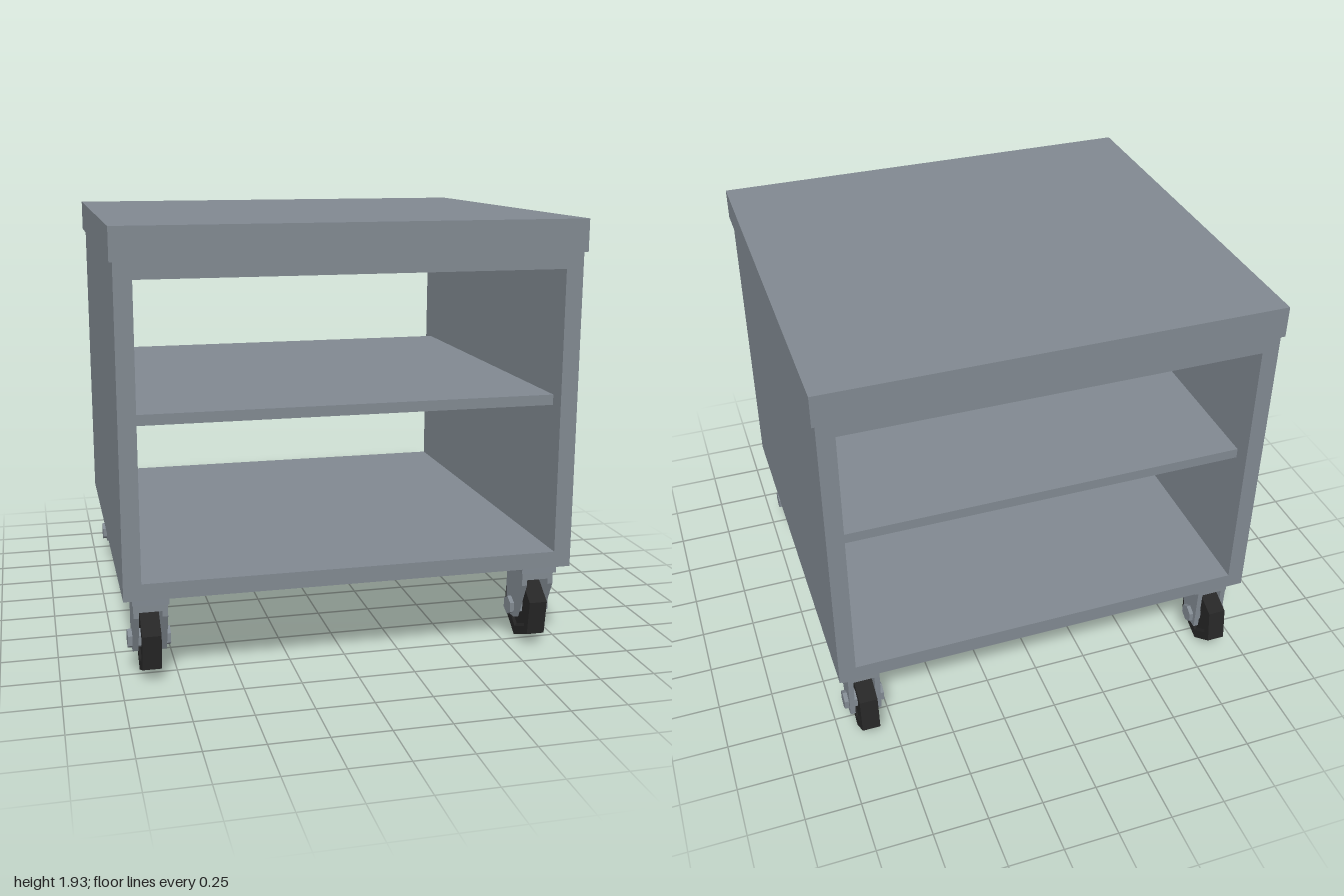
import * as THREE from 'three';

const steel = new THREE.MeshStandardMaterial({ color: 0x808890 });
steel.name = 'grey steel';
const rubber = new THREE.MeshStandardMaterial({ color: 0x262626 });
rubber.name = 'black rubber';

function add(parent, name, geometry, material, x = 0, y = 0, z = 0) {
  const mesh = new THREE.Mesh(geometry, material);
  mesh.name = name;
  mesh.position.set(x, y, z);
  parent.add(mesh);
  return mesh;
}

// Faceted normals for low-poly round parts
function faceted(geometry) {
  const flat = geometry.toNonIndexed();
  flat.computeVertexNormals();
  return flat;
}

function rectangle(target, x0, y0, x1, y1) {
  target.moveTo(x0, y0);
  target.lineTo(x1, y0);
  target.lineTo(x1, y1);
  target.lineTo(x0, y1);
  target.closePath();
  return target;
}

// One caster; its origin is on the floor below the wheel axle
function createCaster() {
  const caster = new THREE.Group();
  caster.name = 'caster';
  const axleY = 0.158;

  // Mounting plate, swivelled slightly
  const plate = add(caster, 'mountingPlate', new THREE.BoxGeometry(0.156, 0.045, 0.222), steel, 0.012, 0.3775, 0.03);
  plate.rotation.y = -0.11;

  // Fork: a crown with two tapered cheeks
  add(caster, 'forkCrown', new THREE.BoxGeometry(0.146, 0.035, 0.18), steel, 0, 0.3375, 0.035);
  const outline = new THREE.Shape(
    [[-0.125, 0.355], [-0.125, 0.295], [-0.04, 0.115], [0.05, 0.115], [0.055, 0.355]]
      .map(([x, y]) => new THREE.Vector2(x, y))
  );
  const cheek = new THREE.ExtrudeGeometry(outline, { depth: 0.024, bevelEnabled: false });
  cheek.rotateY(Math.PI / 2);
  add(caster, 'forkCheek', cheek, steel, 0.049);
  add(caster, 'forkCheek', cheek, steel, -0.073);

  // Six-sided wheel with shallow recessed faces
  const profile = [[0, -0.032], [0.1, -0.032], [0.115, -0.041], [0.158, -0.041],
    [0.158, 0.041], [0.115, 0.041], [0.1, 0.032], [0, 0.032]]
    .map(([r, h]) => new THREE.Vector2(r, h));
  const wheel = faceted(new THREE.LatheGeometry(profile, 6));
  wheel.rotateZ(Math.PI / 2).rotateX(-0.39);
  add(caster, 'wheel', wheel, rubber, 0, axleY, 0);

  // Hexagonal axle bolt
  const bolt = faceted(new THREE.CylinderGeometry(0.043, 0.043, 0.184, 6));
  bolt.rotateZ(Math.PI / 2).rotateX(Math.PI / 6);
  add(caster, 'axleBolt', bolt, steel, 0, 0.162, 0.005);
  return caster;
}

export function createModel() {
  const model = new THREE.Group();
  model.name = 'rollingCart';

  // Worktop
  add(model, 'worktop', new THREE.BoxGeometry(2, 0.14, 1.852), steel, 0, 1.862, 0.012);

  // Open-ended cabinet
  const section = rectangle(new THREE.Shape(), -0.986, 0.4, 0.986, 1.792);
  section.holes.push(rectangle(new THREE.Path(), -0.91, 0.472, 0.91, 1.722));
  add(model, 'cabinet', new THREE.ExtrudeGeometry(section, { depth: 1.83, bevelEnabled: false }), steel, 0, 0, -0.903);

  // Middle shelf, set back from both openings
  add(model, 'shelf', new THREE.BoxGeometry(1.82, 0.046, 1.67), steel, 0, 1.143, 0.012);

  // Four casters, all facing the same way
  for (const x of [-0.868, 0.868]) {
    for (const z of [0.73, -0.793]) {
      const caster = createCaster();
      caster.position.set(x, 0, z);
      model.add(caster);
    }
  }
  return model;
}
